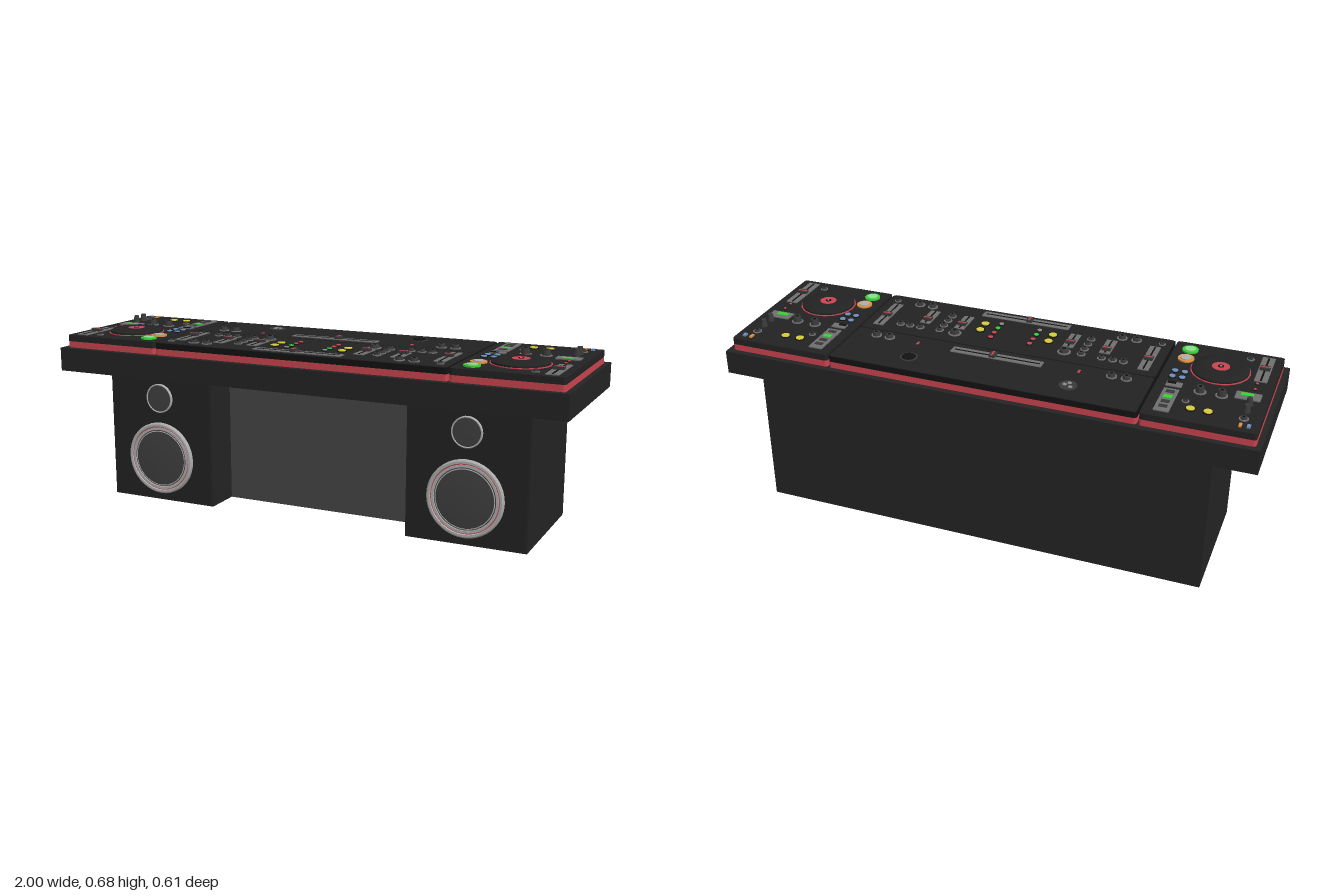
import * as THREE from 'three';
import { toCreasedNormals } from 'three/addons/utils/BufferGeometryUtils.js';

const C = {
  body: 0x242424, top: 0x222222, dark: 0x121212, knob: 0x3a3a3a, plate: 0x707070, cap: 0x8c8c8c,
  red: 0xcc4450, grille: 0x404040, panel: 0x464646, metal: 0xb0b0b0,
  yellow: 0xd8cc3a, green: 0x35d435, orange: 0xe09040, blue: 0x6a90c0,
};
const DECK = 0.648; // height of the control surface

const mats = {};
const mat = (c) => (mats[c] ??= new THREE.MeshStandardMaterial({ color: c }));

export function createModel() {
  const model = new THREE.Group();
  let target = model;

  const group = (name) => {
    target = new THREE.Group();
    target.name = name;
    model.add(target);
    return target;
  };
  const add = (name, geo, color) => {
    const m = new THREE.Mesh(geo, mat(color));
    m.name = name;
    target.add(m);
    return m;
  };
  // box given by its limits
  const block = (name, x0, x1, y0, y1, z0, z1, color) => {
    const g = new THREE.BoxGeometry(Math.abs(x1 - x0), y1 - y0, z1 - z0);
    add(name, g, color).position.set((x0 + x1) / 2, (y0 + y1) / 2, (z0 + z1) / 2);
  };
  // small box on the control surface
  const pad = (name, x, z, w, d, h, color, y = DECK) =>
    block(name, x - w / 2, x + w / 2, y, y + h, z - d / 2, z + d / 2, color);
  // round slab on the control surface
  const disc = (name, x, z, r, h, color, y = DECK, rTop = r) => {
    const g = new THREE.CylinderGeometry(rTop, r, h, 20);
    add(name, g, color).position.set(x, y + h / 2, z);
  };
  const lathe = (name, pts, color, seg = 40) => {
    const g = new THREE.LatheGeometry(pts.map(([r, y]) => new THREE.Vector2(r, y)), seg);
    return add(name, toCreasedNormals(g, 0.5), color);
  };
  // slab with rounded vertical corners
  const slab = (name, x0, x1, z0, z1, y0, y1, r, color) => {
    const s = new THREE.Shape();
    s.moveTo(x0 + r, -z1).lineTo(x1 - r, -z1).quadraticCurveTo(x1, -z1, x1, -z1 + r);
    s.lineTo(x1, -z0 - r).quadraticCurveTo(x1, -z0, x1 - r, -z0);
    s.lineTo(x0 + r, -z0).quadraticCurveTo(x0, -z0, x0, -z0 - r);
    s.lineTo(x0, -z1 + r).quadraticCurveTo(x0, -z1, x0 + r, -z1);
    const g = new THREE.ExtrudeGeometry(s, { depth: y1 - y0, bevelEnabled: false, curveSegments: 4 });
    g.rotateX(-Math.PI / 2);
    add(name, g, color).position.y = y0;
  };
  const knob = (x, z, r = 0.02, h = 0.014) => {
    disc('knobCollar', x, z, r, 0.003, C.plate);
    disc('knob', x, z, r * 0.75, h, C.knob, DECK, r * 0.6);
    disc('knobCap', x, z, r * 0.3, 0.001, C.dark, DECK + h);
  };
  // slot with a red marked cap; long side along z, or along x
  const fader = (x, z, length, width, capZ = 0, alongX = false) => {
    const put = (name, off, w, l, h, color, y) =>
      alongX ? pad(name, x + off, z, l, w, h, color, y) : pad(name, x, z + off, w, l, h, color, y);
    put('faderPlate', 0, width, length, 0.003, C.plate, DECK);
    put('faderSlot', 0, width * 0.15, length * 0.94, 0.001, C.dark, DECK + 0.003);
    put('faderCap', capZ, width * 0.8, 0.022, 0.01, C.knob, DECK + 0.003);
    put('faderMark', capZ, width * 0.8, 0.006, 0.001, C.red, DECK + 0.013);
  };
  const button = (x, z, r, color) => {
    disc('buttonRim', x, z, r * 1.2, 0.003, C.dark);
    disc('button', x, z, r, 0.006, color);
  };

  // desk
  group('desk');
  block('tableTop', -1, 1, 0.51, 0.6, -0.305, 0.305, C.body);
  block('centreBody', -0.4, 0.4, 0, 0.51, -0.305, 0.035, C.body);
  block('centrePanel', -0.4, 0.4, 0, 0.51, 0.035, 0.04, C.panel);
  for (const s of [-1, 1]) block('cabinet', s * 0.4, s * 0.85, 0, 0.51, -0.305, 0.185, C.body);

  // speakers
  for (const s of [-1, 1]) {
    group(s > 0 ? 'leftSpeaker' : 'rightSpeaker');
    block('baffle', s * 0.405, s * 0.845, 0.008, 0.504, 0.185, 0.19, C.top);
    const face = (m, y) => {
      m.rotation.x = Math.PI / 2;
      m.position.set(s * 0.625, y, 0.19);
    };
    face(lathe('wooferRim', [[0.142, 0], [0.142, 0.01], [0.137, 0.014], [0.129, 0.014], [0.127, 0.01]], C.metal), 0.172);
    face(lathe('wooferRedRing', [[0.129, 0.009], [0.123, 0.009]], C.red), 0.172);
    face(lathe('wooferInnerRim', [[0.124, 0], [0.124, 0.012], [0.115, 0.012], [0.113, 0.008]], C.metal), 0.172);
    face(lathe('wooferGrille', [[0.116, 0.009], [0.108, 0.01], [0, 0.011]], C.grille), 0.172);
    face(lathe('wooferGrilleRing', [[0.111, 0.0105], [0.108, 0.0115], [0.107, 0.0105]], C.metal), 0.172);
    face(lathe('tweeterRim', [[0.057, 0], [0.057, 0.008], [0.054, 0.01], [0.051, 0.008]], C.metal), 0.411);
    face(lathe('tweeterGrille', [[0.052, 0.007], [0, 0.009]], C.grille), 0.411);
  }

  // player decks, mirrored
  for (const s of [-1, 1]) {
    group(s > 0 ? 'leftDeck' : 'rightDeck');
    const [a, b] = s > 0 ? [0.585, 0.98] : [-0.98, -0.585];
    slab('deckBase', a, b, -0.282, 0.282, 0.6, 0.624, 0.012, C.red);
    slab('deckTop', a, b, -0.282, 0.282, 0.624, DECK, 0.012, C.top);

    // jog wheel
    const wx = s * 0.78, wz = 0.105;
    disc('jogRedRing', wx, wz, 0.107, 0.003, C.red);
    lathe('jogWheel', [[0.102, 0], [0.102, 0.009], [0.085, 0.017], [0.07, 0.018], [0, 0.018]], C.top)
      .position.set(wx, DECK, wz);
    disc('jogCentre', wx, wz, 0.032, 0.001, C.red, DECK + 0.018);
    disc('jogHub', wx, wz, 0.011, 0.001, C.dark, DECK + 0.019);
    disc('jogPin', wx, wz, 0.005, 0.001, C.cap, DECK + 0.02);

    fader(s * 0.927, 0.165, 0.19, 0.046, 0);
    knob(s * 0.865, 0.228, 0.014, 0.01);
    for (const z of [0.008, 0.05]) button(s * 0.92, z, 0.005, C.red);

    // play and cue buttons
    [[0.15, C.orange], [0.222, C.green]].forEach(([z, c]) => {
      disc('transportRing', s * 0.645, z, 0.03, 0.006, c);
      disc('transportButton', s * 0.645, z, 0.02, 0.003, c === C.green ? 0x8ce08c : C.metal, DECK + 0.006);
    });
    for (const x of [0.63, 0.665]) for (const z of [0.003, 0.046]) button(s * x, z, 0.011, C.blue);

    // level display column
    pad('displayColumn', s * 0.65, -0.168, 0.054, 0.16, 0.004, C.plate);
    pad('displayGreen', s * 0.65, -0.147, 0.03, 0.022, 0.002, C.green, DECK + 0.004);
    for (const z of [-0.215, -0.182, -0.11]) pad('displayCell', s * 0.65, z, 0.03, 0.018, 0.002, C.knob, DECK + 0.004);
    pad('lowerPlate', s * 0.65, -0.053, 0.056, 0.032, 0.004, C.plate);
    pad('lowerSlot', s * 0.64, -0.045, 0.03, 0.014, 0.002, C.dark, DECK + 0.004);

    // track display
    pad('trackDisplay', s * 0.907, -0.047, 0.088, 0.05, 0.004, C.plate);
    pad('trackScreen', s * 0.902, -0.04, 0.044, 0.02, 0.002, C.green, DECK + 0.004);

    // knobs, buttons and lamps
    for (const x of [0.745, 0.82]) knob(s * x, -0.072, 0.022, 0.024);
    for (const z of [-0.1, -0.15]) disc('tallKnob', s * 0.92, z, 0.013, 0.029, C.knob, DECK, 0.009);
    knob(s * 0.92, -0.2, 0.017, 0.01);
    knob(s * 0.713, -0.152, 0.013, 0.009);
    for (const x of [0.74, 0.8]) button(s * x, -0.198, 0.015, C.yellow);
    pad('blueSwitch', s * 0.945, -0.246, 0.012, 0.018, 0.007, C.blue);
    pad('orangeSwitch', s * 0.917, -0.246, 0.01, 0.022, 0.006, C.orange);
  }

  // mixer
  group('mixer');
  slab('mixerBase', -0.578, 0.578, -0.282, 0.282, 0.6, 0.624, 0.012, C.red);
  slab('mixerTop', -0.578, 0.578, -0.282, 0.282, 0.624, DECK - 0.002, 0.012, C.dark);
  slab('rearPlate', -0.574, 0.574, -0.28, -0.028, DECK - 0.002, DECK, 0.012, C.top);
  slab('frontPlate', -0.574, 0.574, -0.022, 0.28, DECK - 0.002, DECK, 0.012, C.top);
  for (const z of [-0.077, 0.241]) fader(0, z, 0.35, 0.04, 0.015 * Math.sign(-z), true);

  // lamp socket and cup hole on the rear plate
  disc('socketDisc', -0.307, -0.19, 0.033, 0.004, C.knob);
  for (const [dx, dz] of [[-0.012, -0.012], [0.012, 0], [-0.002, 0.014]])
    disc('socketPin', -0.307 + dx, -0.19 + dz, 0.008, 0.002, C.cap, DECK + 0.004);
  disc('roundPadRim', 0.298, -0.19, 0.032, 0.003, C.knob);
  disc('roundPad', 0.298, -0.19, 0.026, 0.002, C.dark, DECK + 0.003);

  for (const s of [-1, 1]) {
    for (const x of [0.43, 0.484]) knob(s * x, -0.072, 0.02, 0.016);
    pad('rearMark', s * 0.312, -0.077, 0.008, 0.02, 0.002, C.red);

    fader(s * 0.52, 0.107, 0.19, 0.04, -0.01);
    fader(s * 0.357, 0.14, 0.11, 0.04, -0.025);
    fader(s * 0.216, 0.14, 0.11, 0.04, -0.02);
    for (const x of [0.44, 0.4, 0.358]) knob(s * x, 0.046, 0.016, 0.012);
    for (const x of [0.44, 0.385]) knob(s * x, 0.228, 0.02, 0.014);
    knob(s * 0.537, 0.232, 0.013, 0.01);
    knob(s * 0.216, 0.046, 0.025, 0.016);
    for (let i = 0; i < 4; i++) knob(s * 0.28, 0.05 + i * 0.042, 0.016, 0.012);

    for (const z of [0.104, 0.158]) button(s * 0.136, z, 0.015, C.yellow);
    [C.red, C.red, C.green, C.cap].forEach((c, i) => button(s * 0.077, 0.06 + i * 0.039, 0.009, c));
  }
  return model;
}
